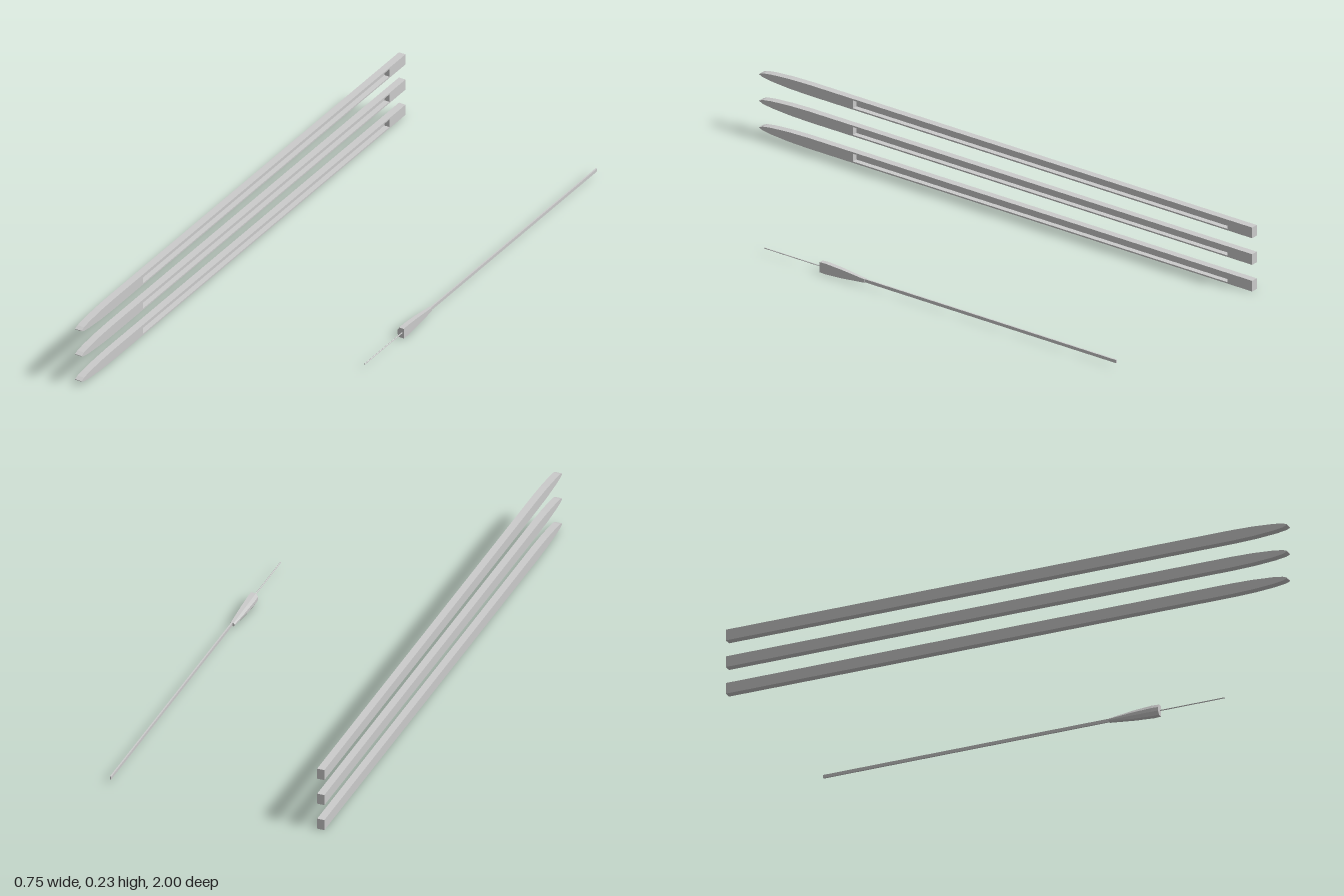
import * as THREE from 'three';

const material = new THREE.MeshStandardMaterial({ color: 0xcccccc, flatShading: true });

function addMesh(parent, name, geometry, x = 0, y = 0, z = 0) {
  const mesh = new THREE.Mesh(geometry, material);
  mesh.name = name;
  mesh.position.set(x, y, z);
  parent.add(mesh);
  return mesh;
}

// Side outline of a bar in (z, y): square tail, rounded pointed tip
function barOutline() {
  const h = 0.038;
  const tip = [[0.8, 0], [0.88, 0.002], [0.95, 0.007], [0.985, 0.012], [1, 0.018]];
  const upper = tip.map(([z, y]) => [z, h - y]).reverse();
  const points = [[-1, 0], ...tip, ...upper, [-1, h]];
  return new THREE.Shape(points.map(([z, y]) => new THREE.Vector2(z, y)));
}

// Extrudes a (z, y) outline sideways, ending at x = 0
function extrudeSideways(shape, depth) {
  return new THREE.ExtrudeGeometry(shape, { depth, bevelEnabled: false }).rotateY(-Math.PI / 2);
}

// Bar with a long channel open on its +x side
function makeBar() {
  const bar = new THREE.Group();
  addMesh(bar, 'barBack', extrudeSideways(barOutline(), 0.006), -0.372);
  const rim = barOutline();
  rim.holes.push(new THREE.Path([
    new THREE.Vector2(-0.9, 0.005), new THREE.Vector2(-0.9, 0.033),
    new THREE.Vector2(0.62, 0.033), new THREE.Vector2(0.62, 0.005),
  ]));
  addMesh(bar, 'barChannelRim', extrudeSideways(rim, 0.019), -0.353);
  return bar;
}

// Six-sided cross-section, flat on the +x side, chamfered on the other
function gripSection({ z, left, right, half }) {
  const c = 0.021, bevel = (right - left) * 0.3;
  return [
    [right, c - half], [right, c + half], [left + bevel, c + half],
    [left, c + half * 0.35], [left, c - half * 0.35], [left + bevel, c - half],
  ].map(([x, y]) => [x, y - 0.002, z]);
}

// Tapering grip lofted through its cross-sections
function gripGeometry() {
  const rings = [
    { z: 0.2, left: 0.353, right: 0.377, half: 0.018 },
    { z: 0.175, left: 0.352, right: 0.377, half: 0.019 },
    { z: 0.11, left: 0.354, right: 0.376, half: 0.015 },
    { z: 0.02, left: 0.36, right: 0.374, half: 0.006 },
  ].map(gripSection);
  const n = 6, index = [];
  for (let r = 0; r < rings.length - 1; r++) {
    for (let i = 0; i < n; i++) {
      const a = r * n + i, b = r * n + (i + 1) % n;
      index.push(a, a + n, b, b, a + n, b + n);
    }
  }
  const last = (rings.length - 1) * n;
  for (let i = 1; i < n - 1; i++) {
    index.push(0, i, i + 1, last, last + i + 1, last + i);
  }
  const geometry = new THREE.BufferGeometry();
  geometry.setAttribute('position', new THREE.Float32BufferAttribute(rings.flat(2), 3));
  geometry.setIndex(index);
  const flat = geometry.toNonIndexed();
  flat.computeVertexNormals();
  return flat;
}

export function createModel() {
  const model = new THREE.Group();
  model.name = 'barsAndRod';

  // Three stacked bars
  [0, 0.095, 0.19].forEach((y, i) => {
    const bar = makeBar();
    bar.name = `bar${i + 1}`;
    bar.position.y = y;
    model.add(bar);
  });

  // Slender rod with a grip and a thin needle in front
  const rod = new THREE.Group();
  rod.name = 'rod';
  addMesh(rod, 'rodShaft', new THREE.BoxGeometry(0.005, 0.011, 1.05), 0.37, 0.02, -0.475);
  addMesh(rod, 'rodGrip', gripGeometry());
  const needle = new THREE.CylinderGeometry(0.002, 0.002, 0.26, 6).rotateX(Math.PI / 2);
  addMesh(rod, 'rodNeedle', needle, 0.37, 0.02, 0.3);
  model.add(rod);
  return model;
}
